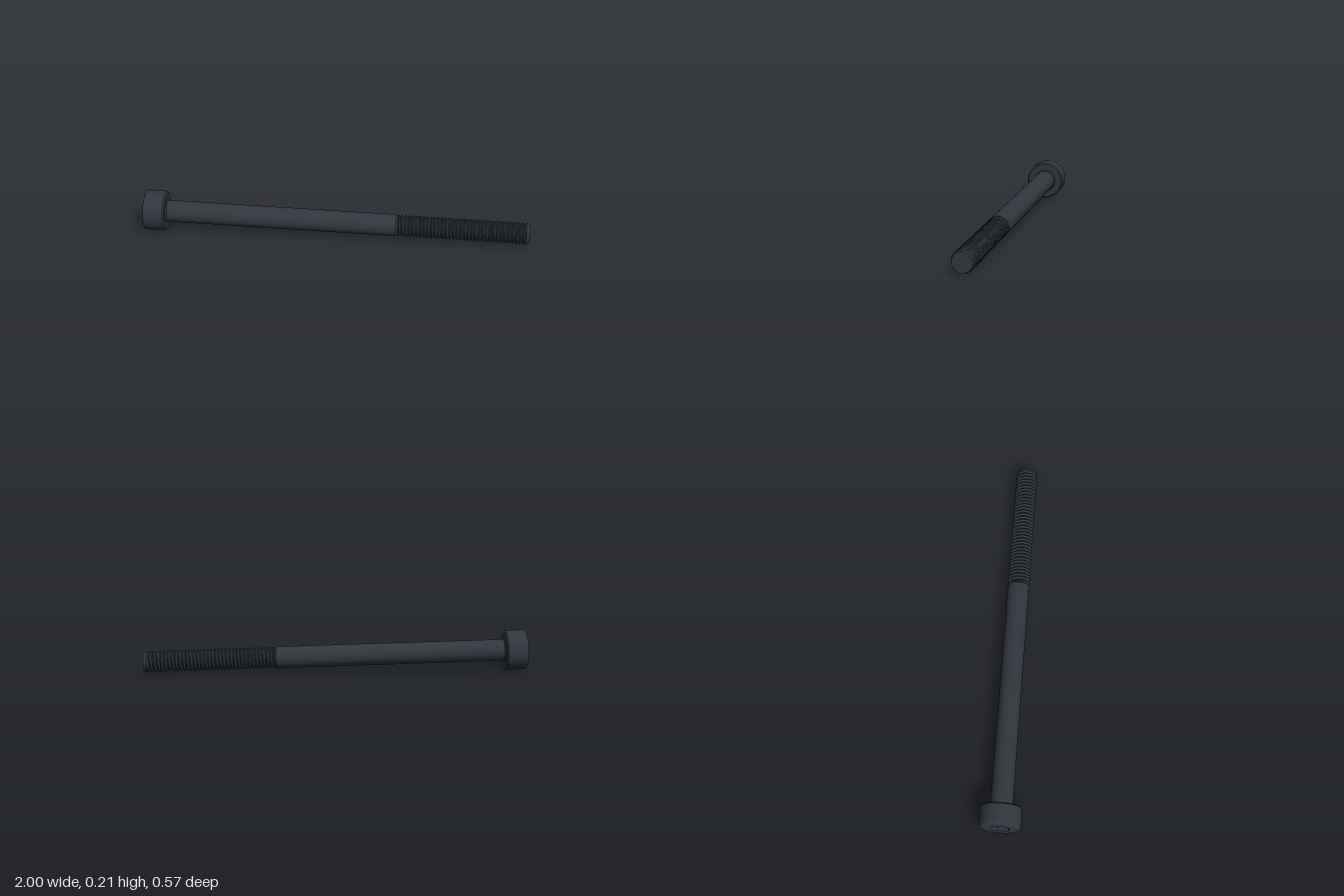
import * as THREE from 'three';
import { toCreasedNormals } from 'three/addons/utils/BufferGeometryUtils.js';

const SEGMENTS = 64;
const SCALE = 0.038;

// Lathe from [radius, distance along the axis] pairs, keeping sharp edges
function lathe(points) {
  const profile = points.map(([r, y]) => new THREE.Vector2(r, y));
  return toCreasedNormals(new THREE.LatheGeometry(profile, SEGMENTS), 0.6);
}

// Helical thread: ring profile sheared by one pitch per turn, clamped at both ends
function threadGeometry(start, end, pitch, minor, major) {
  const profile = [];
  for (let y = start - pitch; y < end + pitch / 2; y += pitch) {
    profile.push(
      new THREE.Vector2(minor, y),
      new THREE.Vector2(minor, y + pitch * 0.12),
      new THREE.Vector2(major, y + pitch * 0.5),
      new THREE.Vector2(major, y + pitch * 0.62)
    );
  }
  const geometry = new THREE.LatheGeometry(profile, SEGMENTS);
  const pos = geometry.attributes.position;
  for (let i = 0; i < pos.count; i++) {
    const turn = Math.floor(i / profile.length) / SEGMENTS;
    const y = pos.getY(i) + turn * pitch;
    if (y < start || y > end) {
      const k = minor / Math.hypot(pos.getX(i), pos.getZ(i));
      pos.setX(i, pos.getX(i) * k);
      pos.setZ(i, pos.getZ(i) * k);
    }
    pos.setY(i, THREE.MathUtils.clamp(y, start, end));
  }
  return toCreasedNormals(geometry, 0.6);
}

export function createModel() {
  const steel = new THREE.MeshStandardMaterial({ color: 0x30373d });
  steel.name = 'blackened steel';

  const model = new THREE.Group();
  model.name = 'socketHeadBolt';
  const bolt = new THREE.Group();
  bolt.name = 'bolt';
  model.add(bolt);
  const add = (name, geometry) => {
    const mesh = new THREE.Mesh(geometry, steel);
    mesh.name = name;
    bolt.add(mesh);
    return mesh;
  };

  // Head side with rounded top rim and chamfered bearing face
  const rim = [];
  for (let i = 0; i <= 5; i++) {
    const a = (i / 5) * Math.PI / 2;
    rim.push([2.45 + 0.3 * Math.sin(a), 0.3 - 0.3 * Math.cos(a)]);
  }
  add('head', lathe([...rim, [2.75, 2.8], [2.55, 3], [1.4, 3]]));

  // Head face pierced by the hexagonal socket
  const face = new THREE.Shape().absarc(0, 0, 2.45, 0, Math.PI * 2);
  const hex = [];
  for (let i = 0; i < 6; i++) {
    const a = (i / 6) * Math.PI * 2;
    hex.push(new THREE.Vector2(Math.cos(a), Math.sin(a)).multiplyScalar(1.443));
  }
  face.holes.push(new THREE.Path(hex));
  const socket = new THREE.ExtrudeGeometry(face, { depth: 1.4, bevelEnabled: false, curveSegments: SEGMENTS });
  add('headSocket', socket.rotateX(-Math.PI / 2));
  add('socketFloor', new THREE.CircleGeometry(1.6, 24).rotateX(Math.PI / 2)).position.y = 1.39;

  // Plain shank, thread and chamfered tip
  add('shank', lathe([[1.65, 3], [1.5, 3.15], [1.5, 34.8], [1.23, 35.1]]));
  add('thread', threadGeometry(35, 52.5, 0.5, 1.23, 1.5));
  add('tip', lathe([[1.23, 52.4], [1.45, 52.6], [1.32, 53], [0, 53]]));

  // Lay the bolt down so it rests on the head rim and the tip
  const headEnd = new THREE.Vector3(-0.979, 0.107, -0.187);
  const tipEnd = new THREE.Vector3(0.989, 0.058, 0.232);
  bolt.scale.setScalar(SCALE);
  bolt.position.copy(headEnd);
  bolt.quaternion.setFromUnitVectors(new THREE.Vector3(0, 1, 0), tipEnd.sub(headEnd).normalize());
  return model;
}
